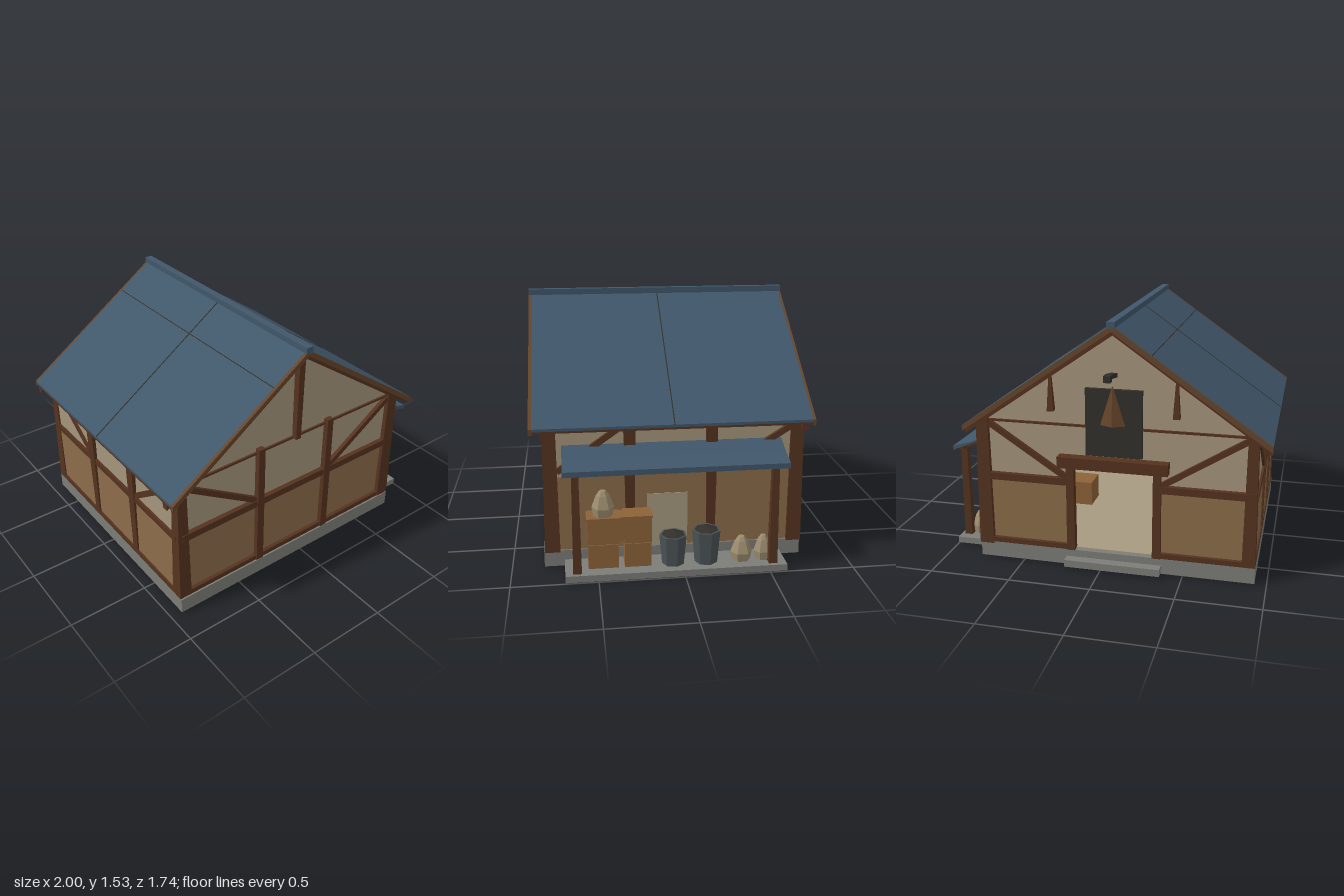
import * as THREE from 'three';

const mat = (color) => new THREE.MeshStandardMaterial({ color, flatShading: true, side: THREE.DoubleSide });
const M = {
  wood: mat(0x55331f), dark: mat(0x33302b), cream: mat(0xa5967c), clay: mat(0x8c6c4a), roof: mat(0x40576a),
  trim: mat(0x66462c), stone: mat(0x7c7c78), under: mat(0x303232), crate: mat(0x8c6238), sack: mat(0x9d8d70),
  barrel: mat(0x4a5254), floor: mat(0xa79a80)
};

export function createModel() {
  const root = new THREE.Group();
  const add = (name, geo, m, x = 0, y = 0, z = 0) => {
    const mesh = new THREE.Mesh(geo, m);
    mesh.name = name;
    mesh.position.set(x, y, z);
    root.add(mesh);
    return mesh;
  };
  // Box given by its limits on each axis
  const box = (name, m, x0, x1, y0, y1, z0, z1) =>
    add(name, new THREE.BoxGeometry(x1 - x0, y1 - y0, z1 - z0), m, (x0 + x1) / 2, (y0 + y1) / 2, (z0 + z1) / 2);
  // Timber from a to b; "normal" is the direction its depth is measured in
  const beam = (name, a, b, width, depth, normal, m = M.wood) => {
    const p = new THREE.Vector3(...a), q = new THREE.Vector3(...b);
    const mesh = add(name, new THREE.BoxGeometry(width, depth, p.distanceTo(q)), m);
    mesh.up.set(...normal);
    mesh.position.copy(p).add(q).multiplyScalar(0.5);
    mesh.lookAt(q);
    return mesh;
  };
  // Polygon in x-y, extruded from z0 to z1
  const slab = (name, m, pts, z0, z1) => add(name, new THREE.ExtrudeGeometry(
    new THREE.Shape(pts.map(p => new THREE.Vector2(...p))), { depth: z1 - z0, bevelEnabled: false }), m, 0, 0, z0);
  // Square post with different widths at top and bottom
  const post = (name, x, y0, y1, z, top, bottom, m = M.wood) => {
    const geo = new THREE.CylinderGeometry(top * Math.SQRT1_2, bottom * Math.SQRT1_2, y1 - y0, 4).rotateY(Math.PI / 4);
    return add(name, geo, m, x, (y0 + y1) / 2, z);
  };
  const Z = [0, 0, 1], X = [1, 0, 0];
  const L = -0.9, R = 0.75, F = 0.77, B = -0.7, mid = -0.08;

  // Foundation, room floor and door step
  box('foundation', M.stone, -0.93, 0.78, 0.012, 0.11, -0.73, 0.81);
  box('foundationUnderside', M.under, -0.92, 0.77, 0.005, 0.014, -0.72, 0.8);
  box('roomFloor', M.floor, L, R, 0.1, 0.118, B, F);
  box('doorStep', M.stone, -0.37, 0.22, 0.02, 0.065, -0.79, -0.72);

  // Gable walls; the back one has a doorway
  const gable = [[R, 0.1], [R, 0.9], [mid, 1.47], [L, 0.9], [L, 0.1]];
  slab('frontWall', M.cream, gable, F - 0.03, F);
  slab('backWall', M.cream, [...gable, [-0.34, 0.1], [-0.34, 0.67], [0.19, 0.67], [0.19, 0.1]], B, B + 0.03);
  box('frontLowerPanel', M.clay, L, R, 0.11, 0.55, F - 0.036, F + 0.006);
  box('backLowerPanel', M.clay, L, -0.34, 0.11, 0.55, B - 0.006, B + 0.036);
  box('backLowerPanel', M.clay, 0.19, R, 0.11, 0.55, B - 0.006, B + 0.036);

  // Side walls
  for (const [x, s] of [[L, -1], [R, 1]]) {
    box('sideWall', M.cream, x - 0.015, x + 0.015, 0.1, 0.92, B, F);
    box('sideLowerPanel', M.clay, x - 0.021, x + 0.021, 0.11, 0.565, B, F);
    for (const z of [0.3, -0.18]) post('sidePost', x + s * 0.005, 0.11, 0.9, z, 0.07, 0.05);
    beam('sideTopPlate', [x, 0.9, B], [x, 0.9, F], 0.03, 0.05, X);
  }
  box('sideMidRail', M.wood, L - 0.03, L, 0.53, 0.57, B, F);
  box('sideSill', M.wood, L - 0.03, L, 0.11, 0.145, B, F);
  beam('sideBrace', [L - 0.015, 0.57, 0.32], [L - 0.015, 0.87, 0.72], 0.035, 0.025, X);
  beam('sideBrace', [L - 0.015, 0.57, -0.2], [L - 0.015, 0.87, -0.65], 0.035, 0.025, X);
  beam('sideBrace', [R + 0.025, 0.6, 0.72], [R + 0.025, 0.88, 0.32], 0.035, 0.025, X);
  beam('sideBrace', [R + 0.025, 0.58, -0.25], [R + 0.025, 0.86, -0.7], 0.035, 0.025, X);
  box('sidePanelPatch', M.floor, R, R + 0.025, 0.11, 0.44, -0.04, 0.2);

  // Corner posts
  for (const z of [F - 0.01, B + 0.01]) {
    post('cornerPost', L + 0.01, 0.1, 0.92, z, 0.06, 0.08);
    post('cornerPost', R - 0.01, 0.1, 0.92, z, 0.075, 0.09);
  }

  // Timber frame on the gable walls
  for (const [z, s] of [[F, 1], [B, -1]]) {
    const zf = z + s * 0.012;
    const spans = s > 0 ? [[L, R]] : [[L, -0.34], [0.19, R]];
    for (const [a, b] of spans) {
      beam('midRail', [a, 0.55, zf], [b, 0.55, zf], 0.045, 0.035, Z);
      beam('sill', [a, 0.125, zf], [b, 0.125, zf], 0.035, 0.035, Z);
    }
    beam('tieBeam', [L, 0.905, z], [R, 0.905, z], 0.014, 0.025, Z);
    for (const x of [-0.34, 0.19]) post('gablePost', x, 0.11, s > 0 ? 0.935 : 0.72, zf, 0.045, 0.05);
    beam('gableBrace', [-0.36, 0.57, zf], [-0.87, 0.89, zf], 0.035, 0.025, Z);
    beam('gableBrace', [0.21, 0.57, zf], [0.7, 0.89, zf], 0.035, 0.025, Z);
  }
  post('kingPost', mid, 0.91, 1.49, F + 0.03, 0.042, 0.036);

  // Door lintel, loft hatch and hoist
  box('doorLintel', M.wood, -0.41, 0.26, 0.65, 0.72, -0.765, -0.69);
  box('loftHatch', M.dark, -0.25, 0.09, 0.73, 1.14, -0.725, -0.695);
  beam('hoistArm', [mid, 1.22, -0.69], [mid, 1.245, -0.84], 0.04, 0.025, [0, 1, 0], M.dark);
  box('hoistHead', M.dark, -0.1, -0.06, 1.215, 1.255, -0.87, -0.83);
  const bag = add('hoistBag', new THREE.ConeGeometry(0.075, 0.24, 4), M.trim, mid, 1.05, -0.745);
  bag.scale.z = 0.4;
  for (const x of [-0.45, 0.3]) post('gablePeg', x, 0.99, 1.2, -0.72, 0.015, 0.04);

  // Roof covering, boards below, edge boards and ridge cap
  const chevron = (top, thick) => [[-1, 0.88 - top], [mid, 1.52 - top], [0.845, 0.88 - top],
    [0.845, 0.88 - top - thick], [mid, 1.52 - top - thick], [-1, 0.88 - top - thick]];
  slab('roof', M.roof, chevron(0, 0.016), -0.765, 0.85);
  slab('roofBoards', M.wood, chevron(0.016, 0.012), -0.765, 0.85);
  slab('bargeBoard', M.trim, chevron(0, 0.035), 0.85, 0.87);
  slab('bargeBoard', M.trim, chevron(0, 0.035), -0.78, -0.765);
  slab('rafter', M.wood, chevron(0.028, 0.035), 0.77, 0.81);
  slab('rafter', M.wood, chevron(0.028, 0.035), -0.74, -0.7);
  box('ridgeCap', M.roof, -0.102, -0.056, 1.5, 1.54, -0.78, 0.87);
  slab('roofSeam', M.dark, chevron(-0.003, 0.004), 0.042, 0.048);
  beam('roofSeam', [-0.313, 1.359, -0.76], [-0.313, 1.359, 0.85], 0.005, 0.004, [-0.57, 0.82, 0], M.dark);

  // Porch floor, posts and sloping awning
  box('porchFloor', M.stone, 0.77, 1, 0.01, 0.05, -0.6, 0.69);
  slab('awning', M.roof, [[0.77, 0.757], [0.88, 0.71], [1, 0.676], [1, 0.645], [0.985, 0.655], [0.88, 0.698], [0.77, 0.745]], -0.595, 0.69);
  for (const z of [0.62, -0.52]) {
    post('porchPost', 0.952, 0.05, 0.67, z, 0.04, 0.05);
    beam('awningBracket', [0.952, 0.655, z], [0.77, 0.73, z], 0.025, 0.025, Z);
  }
  beam('awningBeam', [0.955, 0.66, -0.57], [0.955, 0.66, 0.66], 0.03, 0.03, X);

  // Crates with lids
  for (const [z0, z1, top] of [[0.38, 0.555, 0.35], [0.19, 0.345, 0.355]]) {
    box('crate', M.crate, 0.805, 0.92, 0.05, 0.195, z0, z1);
    box('crate', M.crate, 0.802, 0.925, 0.2, top, z0 - 0.003, z1 + 0.003);
    box('crateLid', M.crate, 0.8, 0.93, top, top + 0.012, z0 - 0.008, z1 + 0.008);
  }
  box('crateBatten', M.crate, 0.81, 0.915, 0.21, 0.36, 0.34, 0.385);
  box('roomCrate', M.crate, 0.25, 0.43, 0.118, 0.28, -0.05, 0.13);

  // Sacks: low-sided lathe shapes pinched at the top
  const sack = (x, y, z, r, h) => add('sack', new THREE.LatheGeometry(
    [[0, 0], [0.85, 0], [1, 0.35], [0.6, 0.82], [0.3, 1], [0, 1]].map(([a, b]) => new THREE.Vector2(a * r, b * h)), 6), M.sack, x, y, z);
  sack(0.88, 0.365, 0.465, 0.065, 0.15);
  sack(0.89, 0.05, -0.345, 0.065, 0.145);
  sack(0.89, 0.05, -0.475, 0.055, 0.145);

  // Buckets with dark contents
  for (const [z, h, r] of [[0.06, 0.18, 0.082], [-0.135, 0.2, 0.085]]) {
    add('bucket', new THREE.CylinderGeometry(r, r * 0.8, h, 7), M.barrel, 0.89, 0.05 + h / 2, z);
    add('bucketContents', new THREE.ConeGeometry(r * 0.85, 0.02, 7), M.dark, 0.89, 0.06 + h, z);
  }
  return root;
}
